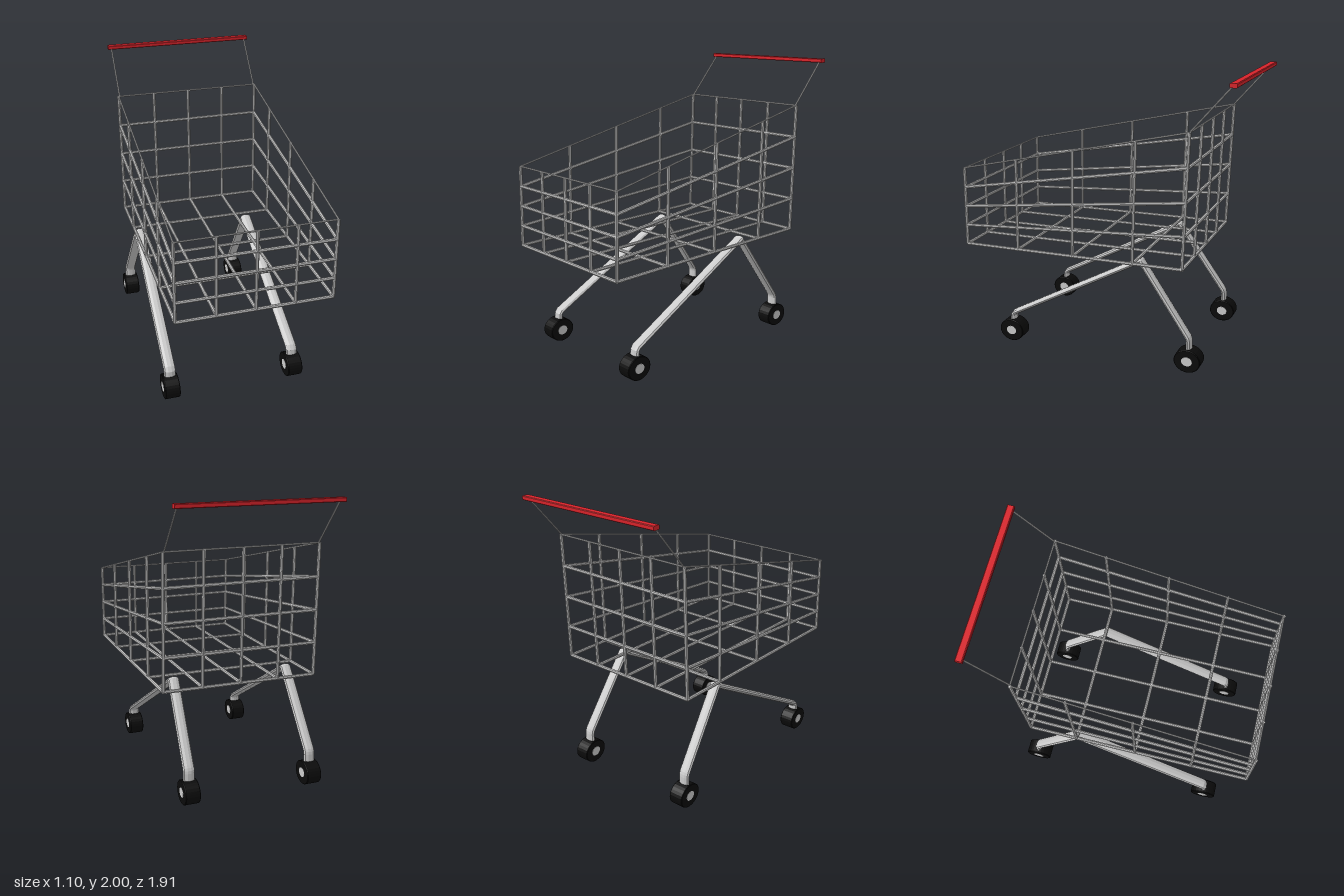
import * as THREE from 'three';

const grey = new THREE.MeshStandardMaterial({ color: 0xcccccc, flatShading: true });
const red = new THREE.MeshStandardMaterial({ color: 0xd8232a, flatShading: true });
const black = new THREE.MeshStandardMaterial({ color: 0x0b0b0b, flatShading: true });

const V = (x, y, z) => new THREE.Vector3(x, y, z);
const UP = V(0, 1, 0);

function add(parent, name, geometry, material) {
  const mesh = new THREE.Mesh(geometry, material);
  mesh.name = name;
  parent.add(mesh);
  return mesh;
}

// Straight wire between two points
function rod(parent, name, a, b, radius = 0.012) {
  const d = b.clone().sub(a);
  const mesh = add(parent, name, new THREE.CylinderGeometry(radius, radius, d.length(), 8), grey);
  mesh.position.copy(a).add(b).multiplyScalar(0.5);
  mesh.quaternion.setFromUnitVectors(UP, d.normalize());
}

// Flattened tube through start, bend and end, wider along x
function bentTube(parent, name, a, bend, b) {
  const flat = 2;
  const [p, q, r] = [a, bend, b].map((v) => V(v.x / flat, v.y, v.z));
  const q1 = q.clone().add(p.clone().sub(q).setLength(0.022));
  const q2 = q.clone().add(r.clone().sub(q).setLength(0.022));
  const path = new THREE.CurvePath();
  path.add(new THREE.LineCurve3(p, q1));
  path.add(new THREE.QuadraticBezierCurve3(q1, q, q2));
  path.add(new THREE.LineCurve3(q2, r));
  add(parent, name, new THREE.TubeGeometry(path, 48, 0.02, 10).scale(flat, 1, 1), grey);
}

function makeWheel(name, x, y, z) {
  const wheel = new THREE.Group();
  wheel.name = name;
  const profile = [[0, -0.051], [0.089, -0.051], [0.093, -0.047], [0.093, 0.047], [0.089, 0.051], [0, 0.051]]
    .map(([r, h]) => new THREE.Vector2(r, h));
  add(wheel, 'tyre', new THREE.LatheGeometry(profile, 28).rotateZ(Math.PI / 2), black);
  add(wheel, 'hub', new THREE.CylinderGeometry(0.038, 0.038, 0.105, 24).rotateZ(Math.PI / 2), grey);
  wheel.scale.y = 0.88; // slightly flattened tyres
  wheel.position.set(x, y, z);
  return wheel;
}

export function createModel() {
  const cart = new THREE.Group();
  cart.name = 'shoppingCart';

  // Basket wire positions: across x, along z (bottom and top), and up in quarters
  const xs = [-0.516, -0.253, 0.007, 0.27, 0.531];
  const zBottom = [0.943, 0.54, 0.128, -0.303, -0.642];
  const zTop = [0.935, 0.53, 0.112, -0.322, -0.669];
  const yBottom = (z) => 0.759 + (0.943 - z) * 0.025;
  const yTop = (z) => 1.31 + (0.935 - z) * 0.235;
  const point = (x, column, level) => {
    const zb = zBottom[column], zt = zTop[column];
    return V(x, yBottom(zb), zb).lerp(V(x, yTop(zt), zt), level / 4);
  };
  const left = xs[4], right = xs[0];

  const basket = new THREE.Group();
  basket.name = 'basket';
  cart.add(basket);

  for (let i = 0; i < 5; i++) {
    const radius = i === 4 ? 0.006 : 0.012; // the rim is thinner
    for (const x of [right, left]) {
      rod(basket, 'sideUpright', point(x, i, 0), point(x, i, 4));
      for (let c = 0; c < 4; c++) rod(basket, 'sideRail', point(x, c, i), point(x, c + 1, i), radius);
    }
    for (const c of [0, 4]) rod(basket, 'endRail', point(right, c, i), point(left, c, i), radius);
  }
  for (const x of xs.slice(1, 4)) {
    for (const c of [0, 4]) rod(basket, 'endUpright', point(x, c, 0), point(x, c, 4));
    rod(basket, 'floorLongWire', point(x, 0, 0), point(x, 4, 0));
  }
  for (let c = 1; c < 4; c++) rod(basket, 'floorCrossWire', point(right, c, 0), point(left, c, 0));

  // Push handle with a slightly chamfered bar
  for (const x of [right + 0.007, left - 0.007]) rod(cart, 'handleArm', point(x, 4, 4), V(x, 1.985, -0.926), 0.006);
  const section = new THREE.Shape([[-0.024, -0.01], [-0.019, -0.014], [0.019, -0.014], [0.024, -0.01],
    [0.024, 0.01], [0.019, 0.014], [-0.019, 0.014], [-0.024, 0.01]].map(([x, y]) => new THREE.Vector2(x, y)));
  const bar = new THREE.ExtrudeGeometry(section, { depth: 1.08, bevelEnabled: false });
  bar.translate(0, 0, -0.54).rotateY(Math.PI / 2);
  add(cart, 'handleBar', bar, red).position.set(0.007, 1.986, -0.93);

  // Legs and wheels: top x and foot x of each side
  for (const [side, topX, footX] of [['left', 0.355, 0.372], ['right', -0.477, -0.5]]) {
    const top = V(topX, 0.754, -0.3);
    bentTube(cart, side + 'FrontLeg', top, V(footX, 0.207, 0.683), V(footX, 0.12, 0.686));
    bentTube(cart, side + 'RearLeg', top, V(footX, 0.25, -0.656), V(footX, 0.14, -0.657));
    const joint = add(cart, side + 'LegJoint', new THREE.SphereGeometry(0.02, 16, 10), grey);
    joint.scale.x = 1.95;
    joint.position.copy(top);
    cart.add(makeWheel(side + 'FrontWheel', footX, 0.082, 0.686));
    cart.add(makeWheel(side + 'RearWheel', footX, 0.1, -0.656));
  }
  return cart;
}
